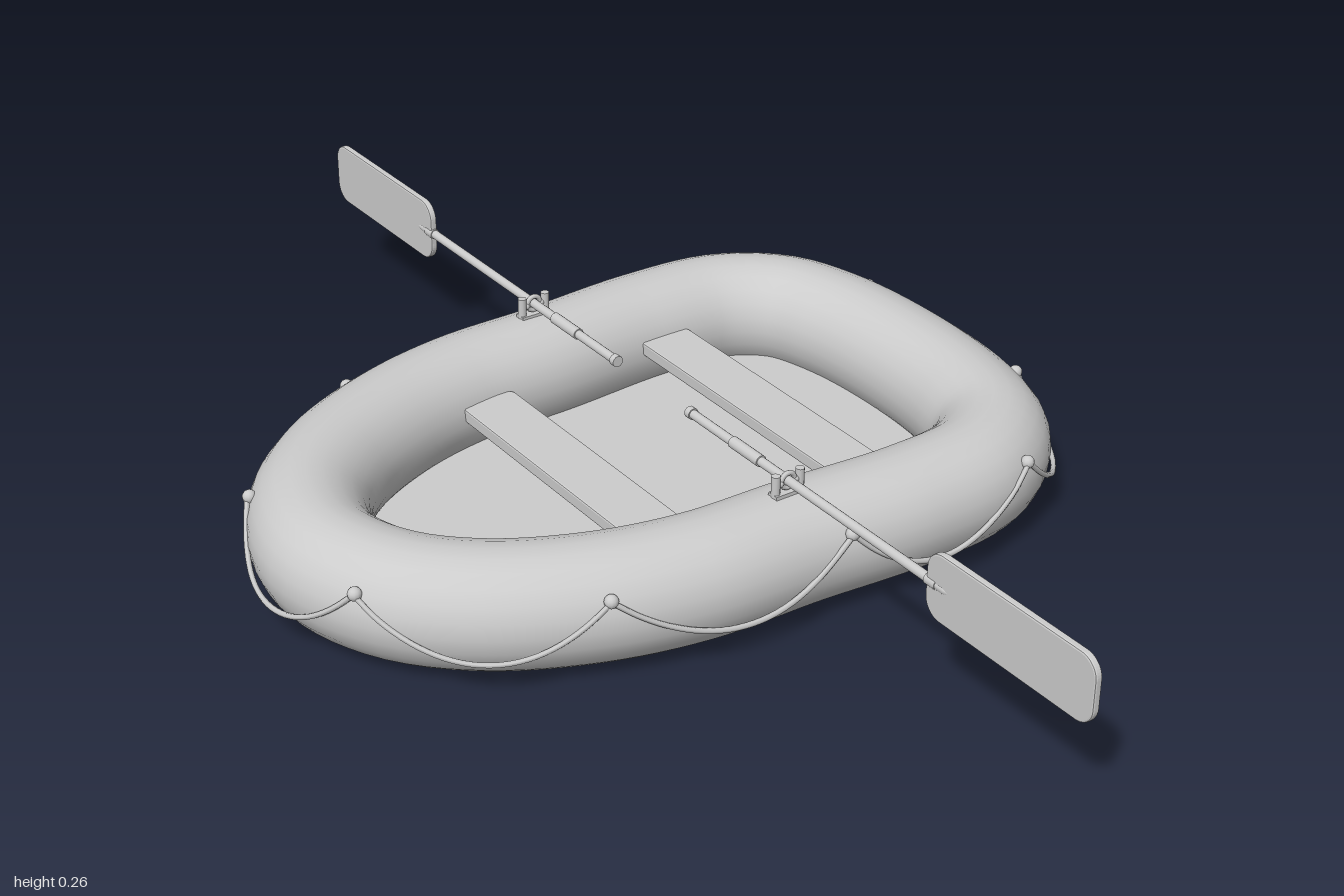
import * as THREE from 'three';

const R = 0.095; // hull tube radius
const material = new THREE.MeshStandardMaterial({ color: 0xcccccc });

function add(parent, name, geometry, x = 0, y = 0, z = 0) {
  const mesh = new THREE.Mesh(geometry, material);
  mesh.name = name;
  mesh.position.set(x, y, z);
  parent.add(mesh);
  return mesh;
}

// Half of the hull centreline, bow (-x) to stern (+x), as [x, z]
const half = [[-0.51, 0.13], [-0.42, 0.225], [-0.28, 0.298], [-0.13, 0.335], [0.05, 0.342],
  [0.25, 0.355], [0.4, 0.34], [0.49, 0.275], [0.53, 0.17]];

function hullCurve() {
  const points = [
    [-0.55, 0], ...half, [0.545, 0],
    ...half.slice().reverse().map(([x, z]) => [x, -z]),
  ].map(([x, z]) => new THREE.Vector3(x, R, z));
  return new THREE.CatmullRomCurve3(points, true);
}

// Point on the hull's outer side at parameter u, height y and distance out from the centreline
function outside(curve, u, y, out) {
  const p = curve.getPointAt(((u % 1) + 1) % 1);
  const t = curve.getTangentAt(((u % 1) + 1) % 1);
  return new THREE.Vector3(p.x - t.z * out, y, p.z + t.x * out);
}

// Parameter whose outer point lies closest to a given x, z
function closest(curve, x, z) {
  let best = 0, bestDistance = Infinity;
  for (let i = 0; i < 600; i++) {
    const p = outside(curve, i / 600, 0, R);
    const d = Math.hypot(p.x - x, p.z - z);
    if (d < bestDistance) { bestDistance = d; best = i / 600; }
  }
  return best;
}

function buildRope(curve) {
  const rope = new THREE.Group();
  rope.name = 'grabRope';
  const side = [[-0.59, 0.16], [-0.305, 0.375], [0.085, 0.435], [0.435, 0.42], [0.62, 0.19]];
  const knots = [...side, ...side.slice().reverse().map(([x, z]) => [x, -z])]
    .map(([x, z]) => closest(curve, x, z));
  const top = 0.142, sag = 0.082;
  knots.forEach((u, i) => {
    // Fixing on the tube
    const k = outside(curve, u, top, 0.086);
    add(rope, 'ropeFixing', new THREE.SphereGeometry(0.011, 12, 8), k.x, k.y, k.z);
    // Swag to the next fixing
    let end = knots[(i + 1) % knots.length];
    if (end < u) end += 1;
    const points = [];
    for (let j = 0; j <= 12; j++) {
      const t = j / 12, drop = 4 * t * (1 - t);
      points.push(outside(curve, u + (end - u) * t, top - sag * drop, 0.089 + 0.012 * drop));
    }
    add(rope, 'ropeSwag', new THREE.TubeGeometry(new THREE.CatmullRomCurve3(points), 32, 0.0045, 6));
  });
  return rope;
}

function roundedPlate(w, h, r, depth, bevel) {
  const s = new THREE.Shape();
  const x = w / 2 - bevel, y = h / 2 - bevel;
  s.absarc(x - r, y - r, r, 0, Math.PI / 2);
  s.absarc(-x + r, y - r, r, Math.PI / 2, Math.PI);
  s.absarc(-x + r, -y + r, r, Math.PI, Math.PI * 1.5);
  s.absarc(x - r, -y + r, r, Math.PI * 1.5, Math.PI * 2);
  return new THREE.ExtrudeGeometry(s, {
    depth: depth - 2 * bevel, bevelSize: bevel, bevelThickness: bevel, bevelSegments: 2, curveSegments: 6,
  }).translate(0, 0, -depth / 2 + bevel);
}

// Oar along z, from its grip at 0.1 to its blade tip at 1
function buildOar() {
  const oar = new THREE.Group();
  oar.name = 'oar';
  const rod = (name, r1, r2, z0, z1) => add(oar, name,
    new THREE.CylinderGeometry(r2, r1, z1 - z0, 14).rotateX(Math.PI / 2), 0, 0, (z0 + z1) / 2);
  rod('shaft', 0.0075, 0.0075, 0.1, 0.7);
  rod('shaftTip', 0.0075, 0.003, 0.7, 0.73);
  rod('gripEnd', 0.0095, 0.0095, 0.097, 0.108);
  rod('sleeve', 0.0095, 0.0095, 0.21, 0.28);
  rod('bladeSocket', 0.009, 0.009, 0.662, 0.684);
  add(oar, 'blade', roundedPlate(0.335, 0.108, 0.028, 0.012, 0.003).rotateY(Math.PI / 2), 0, 0, 0.8325);
  return oar;
}

function buildOarlock() {
  const lock = new THREE.Group();
  lock.name = 'oarlock';
  add(lock, 'lockBase', new THREE.BoxGeometry(0.055, 0.012, 0.02), 0, -0.022, 0);
  add(lock, 'lockRing', new THREE.TorusGeometry(0.012, 0.004, 8, 20));
  for (const s of [-1, 1]) {
    add(lock, 'lockPost', new THREE.CylinderGeometry(0.007, 0.007, 0.04, 12), s * 0.022, -0.006, 0);
    add(lock, 'lockPin', new THREE.SphereGeometry(0.006, 10, 8), s * 0.014, -0.002, 0);
  }
  return lock;
}

export function createModel() {
  const model = new THREE.Group();
  model.name = 'inflatableRaft';
  const curve = hullCurve();

  add(model, 'hullTube', new THREE.TubeGeometry(curve, 120, R, 24, true));

  // Floor slab reaching under the tube
  const outline = new THREE.Shape(curve.getSpacedPoints(80).slice(0, -1).map(p => new THREE.Vector2(p.x, -p.z)));
  add(model, 'floor', new THREE.ExtrudeGeometry(outline, { depth: 0.035, bevelEnabled: false })
    .rotateX(-Math.PI / 2), 0, 0.008, 0);

  // Bench seats between the side tubes
  for (const [x, w, length] of [[-0.123, 0.098, 0.5], [0.238, 0.094, 0.54]]) {
    add(model, 'seat', roundedPlate(w, length, 0.008, 0.022, 0.003).rotateX(Math.PI / 2), x, 0.112, 0);
  }

  model.add(buildRope(curve));

  // Oars and their locks on both sides
  for (const s of [1, -1]) {
    const set = new THREE.Group();
    set.name = s > 0 ? 'frontOarSet' : 'backOarSet';
    const lock = buildOarlock();
    lock.position.z = 0.345;
    set.add(buildOar(), lock);
    set.position.set(0.03, 0.21, 0);
    if (s < 0) set.rotation.y = Math.PI;
    model.add(set);
  }
  return model;
}
